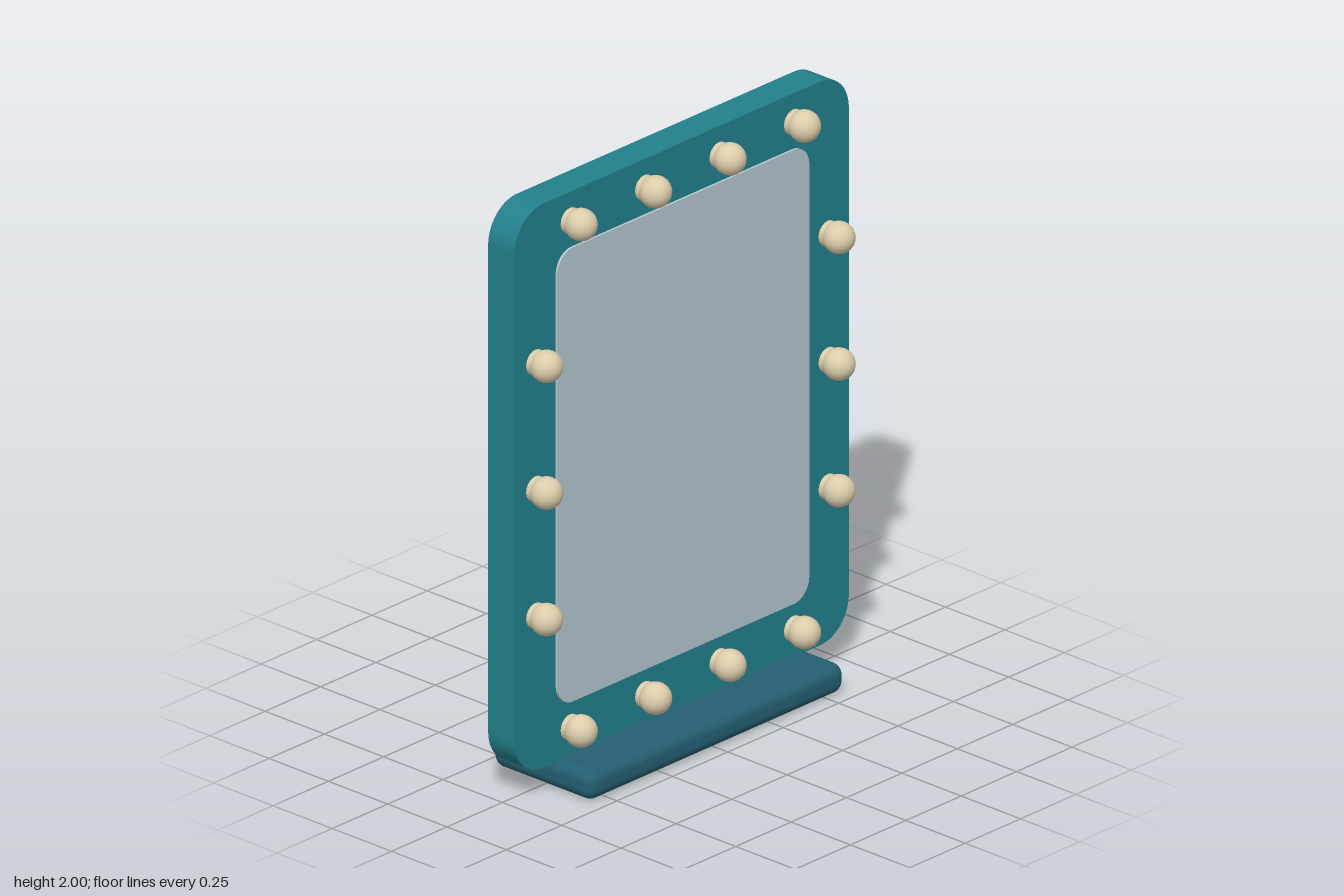
import * as THREE from 'three';
import { RoundedBoxGeometry } from 'three/addons/geometries/RoundedBoxGeometry.js';

const material = (name, color) => {
  const m = new THREE.MeshStandardMaterial({ color });
  m.name = name;
  return m;
};

// Upright rounded rectangle, extruded along z and centred on x
function roundedPanel(halfWidth, bottom, top, radius, depth) {
  const w = halfWidth, r = radius;
  const s = new THREE.Shape();
  s.moveTo(-w + r, bottom);
  s.lineTo(w - r, bottom);
  s.absarc(w - r, bottom + r, r, -Math.PI / 2, 0);
  s.lineTo(w, top - r);
  s.absarc(w - r, top - r, r, 0, Math.PI / 2);
  s.lineTo(-w + r, top);
  s.absarc(-w + r, top - r, r, Math.PI / 2, Math.PI);
  s.lineTo(-w, bottom + r);
  s.absarc(-w + r, bottom + r, r, Math.PI, Math.PI * 1.5);
  return new THREE.ExtrudeGeometry(s, { depth, bevelEnabled: false, curveSegments: 12 });
}

export function createModel() {
  const teal = material('frame teal', 0x22808c);
  const darkTeal = material('base dark teal', 0x245f72);
  const silver = material('mirror silver', 0xb3c6cf);
  const cream = material('bulb cream', 0xdccdab);

  const model = new THREE.Group();
  model.name = 'vanityMirror';
  const add = (name, geometry, mat, x, y, z, parent = model) => {
    const mesh = new THREE.Mesh(geometry, mat);
    mesh.name = name;
    mesh.position.set(x, y, z);
    parent.add(mesh);
    return mesh;
  };

  // Foot, frame slab and glass plate
  add('base', new RoundedBoxGeometry(1.156, 0.1, 0.424, 4, 0.04), darkTeal, 0, 0.05, 0);
  add('frame', roundedPanel(0.755, 0.094, 2, 0.13, 0.11), teal, 0, 0, -0.055);
  add('mirrorGlass', roundedPanel(0.568, 0.278, 1.813, 0.07, 0.008), silver, 0, 0, 0.055);

  // Bulbs on short sockets around the frame
  const bulbGeometry = new THREE.SphereGeometry(0.052, 24, 16);
  const socketGeometry = new THREE.CylinderGeometry(0.042, 0.042, 0.03, 20).rotateX(Math.PI / 2);
  const spots = [];
  for (const y of [0.192, 1.904])
    for (const x of [-0.504, -0.168, 0.168, 0.504]) spots.push([x, y]);
  for (const x of [-0.66, 0.66])
    for (const y of [0.62, 1.048, 1.476]) spots.push([x, y]);
  for (const [x, y] of spots) {
    const light = new THREE.Group();
    light.name = 'light';
    light.position.set(x, y, 0);
    add('socket', socketGeometry, cream, 0, 0, 0.06, light);
    add('bulb', bulbGeometry, cream, 0, 0, 0.102, light);
    model.add(light);
  }
  return model;
}
